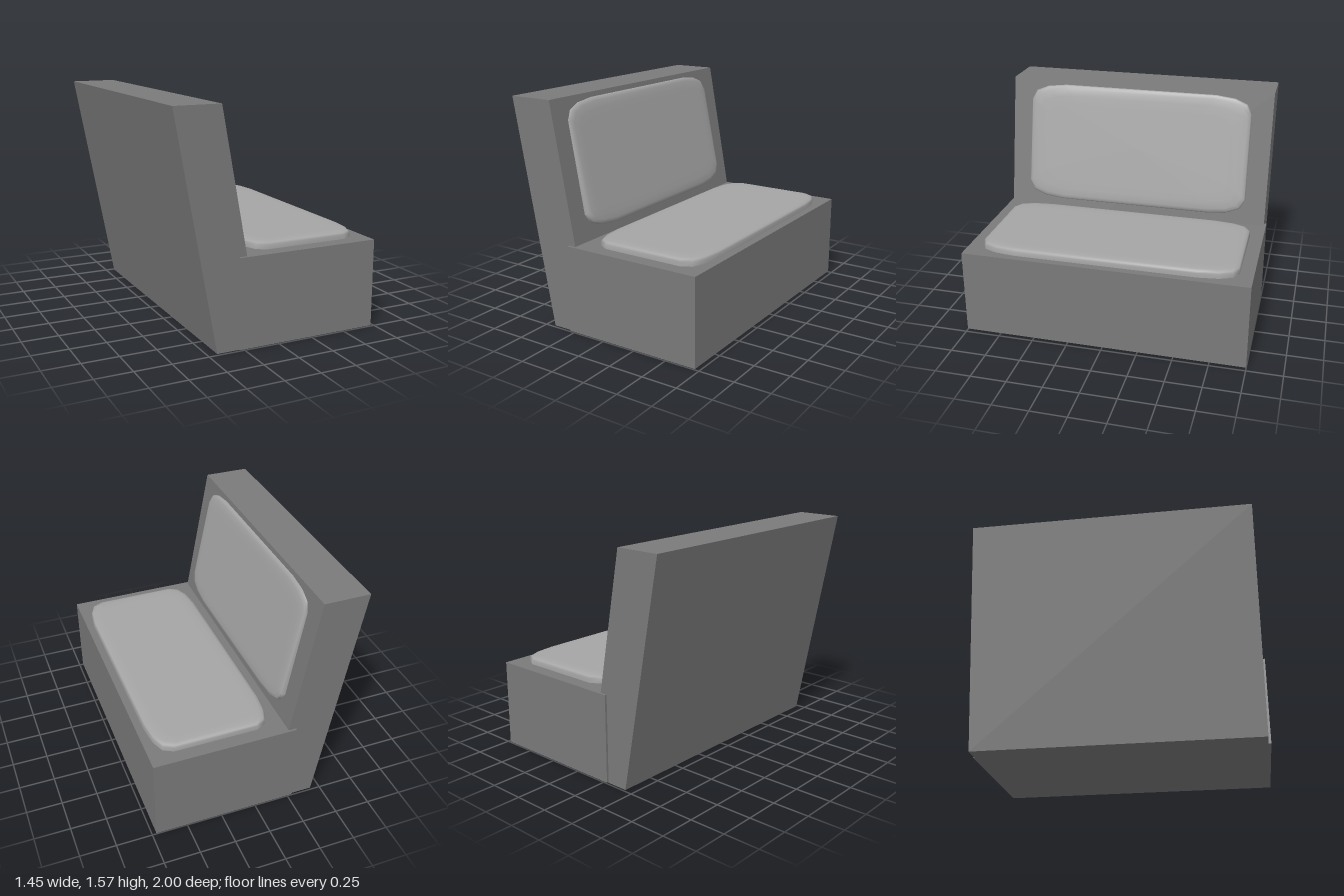
import * as THREE from 'three';

const frameGrey = new THREE.MeshStandardMaterial({ color: 0x7a7a7a });
frameGrey.name = 'frame grey';
const cushionGrey = new THREE.MeshStandardMaterial({ color: 0xa5a5a5 });
cushionGrey.name = 'cushion grey';

// Rounded corner, as distances in from the x side and from the z side
const CORNER = [[0.12, 0], [0.053, 0.037], [0.017, 0.125], [0, 0.265]];
// Pillow section, as [inset, fraction of the height]
const SECTION = [[0, 0], [0, 0.62], [0.008, 0.82], [0.03, 0.96], [0.08, 1], [0.14, 1]];

// Flat pillow lying in the xz plane, softly rounded at its top rim
function cushionGeometry(halfX, halfZ, height) {
  const outline = [];
  for (const [sx, sz] of [[1, 1], [1, -1], [-1, -1], [-1, 1]]) {
    const corner = sx * sz > 0 ? CORNER : [...CORNER].reverse();
    for (const [dx, dz] of corner) outline.push([sx * (halfX - dx), sz * (halfZ - dz)]);
  }
  const n = outline.length;
  const positions = [];
  const index = [];
  for (const [inset, level] of SECTION) {
    for (const [x, z] of outline) {
      positions.push(x * (1 - inset / halfX), level * height, z * (1 - inset / halfZ));
    }
  }
  for (let r = 0; r < SECTION.length - 1; r++) {
    for (let i = 0; i < n; i++) {
      const a = r * n + i;
      const b = r * n + (i + 1) % n;
      index.push(a, b, b + n, a, b + n, a + n);
    }
  }
  // Top face
  const last = (SECTION.length - 1) * n;
  const centre = positions.length / 3;
  positions.push(0, height, 0);
  for (let i = 0; i < n; i++) index.push(last + i, last + (i + 1) % n, centre);

  const geometry = new THREE.BufferGeometry();
  geometry.setAttribute('position', new THREE.Float32BufferAttribute(positions, 3));
  geometry.setIndex(index);
  geometry.computeVertexNormals();
  return geometry;
}

export function createModel() {
  const model = new THREE.Group();
  model.name = 'bench';
  const add = (name, geometry, material, x, y, z) => {
    const mesh = new THREE.Mesh(geometry, material);
    mesh.name = name;
    mesh.position.set(x, y, z);
    model.add(mesh);
    return mesh;
  };

  // Box base
  add('seatBase', new THREE.BoxGeometry(1.003, 0.607, 2), frameGrey, 0.22, 0.3095, 0);

  // Leaning backrest slab
  const side = new THREE.Shape([[-0.435, 0], [-0.115, 0], [-0.405, 1.572], [-0.725, 1.572]]
    .map(([x, y]) => new THREE.Vector2(x, y)));
  const slab = new THREE.ExtrudeGeometry(side, { depth: 1.965, bevelEnabled: false });
  add('backrest', slab, frameGrey, 0, 0, -0.985);

  // Cushions, the back one tipped to lie on the backrest
  add('seatCushion', cushionGeometry(0.413, 0.903, 0.06), cushionGrey, 0.256, 0.606, -0.002);
  const back = add('backCushion', cushionGeometry(0.437, 0.835, 0.055), cushionGrey, -0.342, 1.103, 0);
  back.rotation.z = 0.205 - Math.PI / 2;

  return model;
}
